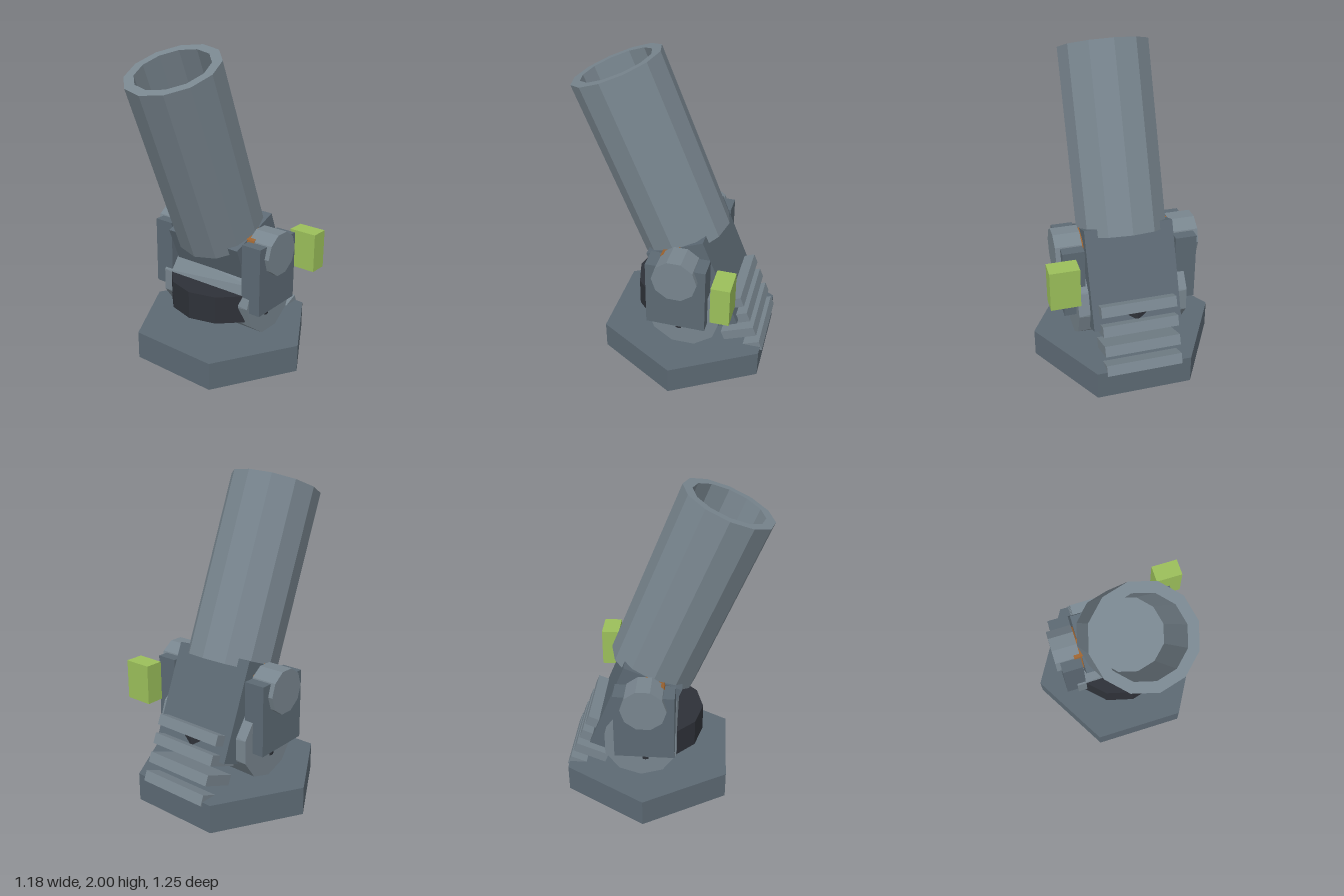
import * as THREE from 'three';

const TILT = THREE.MathUtils.degToRad(22);

const paint = (color) => new THREE.MeshStandardMaterial({ color, flatShading: true });

export function createModel() {
  const model = new THREE.Group();
  model.name = 'mortar';
  const slate = paint(0x5c6973);
  const steel = paint(0x78858e);
  const dark = paint(0x2e3138);
  const copper = paint(0x9a6230);
  const green = paint(0x9bbf5a);

  const add = (name, geometry, material, x, y, z, parent = model) => {
    const mesh = new THREE.Mesh(geometry, material);
    mesh.name = name;
    mesh.position.set(x, y, z);
    parent.add(mesh);
    return mesh;
  };
  const box = (w, h, d) => new THREE.BoxGeometry(w, h, d);
  // Cylinder lying along x
  const axle = (r, length, sides) =>
    new THREE.CylinderGeometry(r, r, length, sides).rotateZ(-Math.PI / 2);

  // Hexagonal base with corners on the x axis
  add('base', new THREE.CylinderGeometry(0.59, 0.59, 0.18, 6).rotateY(Math.PI / 2),
    slate, 0, 0.09, -0.1);

  // Turntable and the drum that sits in it
  add('turntable', new THREE.CylinderGeometry(0.35, 0.35, 0.18, 12), dark, 0, 0.41, -0.1);
  const drum = axle(0.235, 0.69, 10);
  const p = drum.attributes.position;
  const v = new THREE.Vector3();
  const xAxis = new THREE.Vector3(1, 0, 0);
  for (let i = 0; i < p.count; i++) {
    v.fromBufferAttribute(p, i);
    // One end is turned by half a side
    if (v.x < 0) v.applyAxisAngle(xAxis, Math.PI / 10);
    p.setXYZ(i, v.x, v.y, v.z);
  }
  drum.computeVertexNormals();
  add('drum', drum, steel, 0, 0.43, -0.13);

  // Side supports with axle collars and trunnion caps
  for (const [side, s] of [['left', 1], ['right', -1]]) {
    add(side + 'Support', box(0.135, 0.44, 0.37), slate, s * 0.3525, 0.62, -0.1);
    add(side + 'Trunnion', axle(0.14, 0.165, 10), steel, s * 0.3675, 0.765, -0.1);
    add(side + 'Collar', axle(0.15, 0.065, 8), copper, s * 0.2925, 0.745, -0.09);
  }

  // Tilted cradle block
  add('cradle', box(0.55, 0.615, 0.38), slate, 0, 0.5925, -0.17).rotation.x = TILT;

  // Hollow twelve-sided barrel
  const profile = [[0, 0], [0.285, 0], [0.285, 1.15], [0.225, 1.15], [0.225, 0.45], [0, 0.45]]
    .map(([r, y]) => new THREE.Vector2(r, y));
  add('barrel', new THREE.LatheGeometry(profile, 12), steel, 0, 0.828, -0.07).rotation.x = TILT;

  // Cooling fins down the back of the cradle
  const fins = new THREE.Group();
  fins.name = 'rearFins';
  fins.position.set(0, 0.26, -0.467);
  fins.rotation.x = TILT;
  model.add(fins);
  for (let i = -1; i <= 2; i++) {
    add('fin', box(0.47, 0.065, 0.22), steel, 0, i * 0.119, 0, fins);
  }

  // Sight box beside the cradle
  add('sightBox', box(0.18, 0.25, 0.115), green, 0.44, 0.705, -0.398);

  return model;
}
